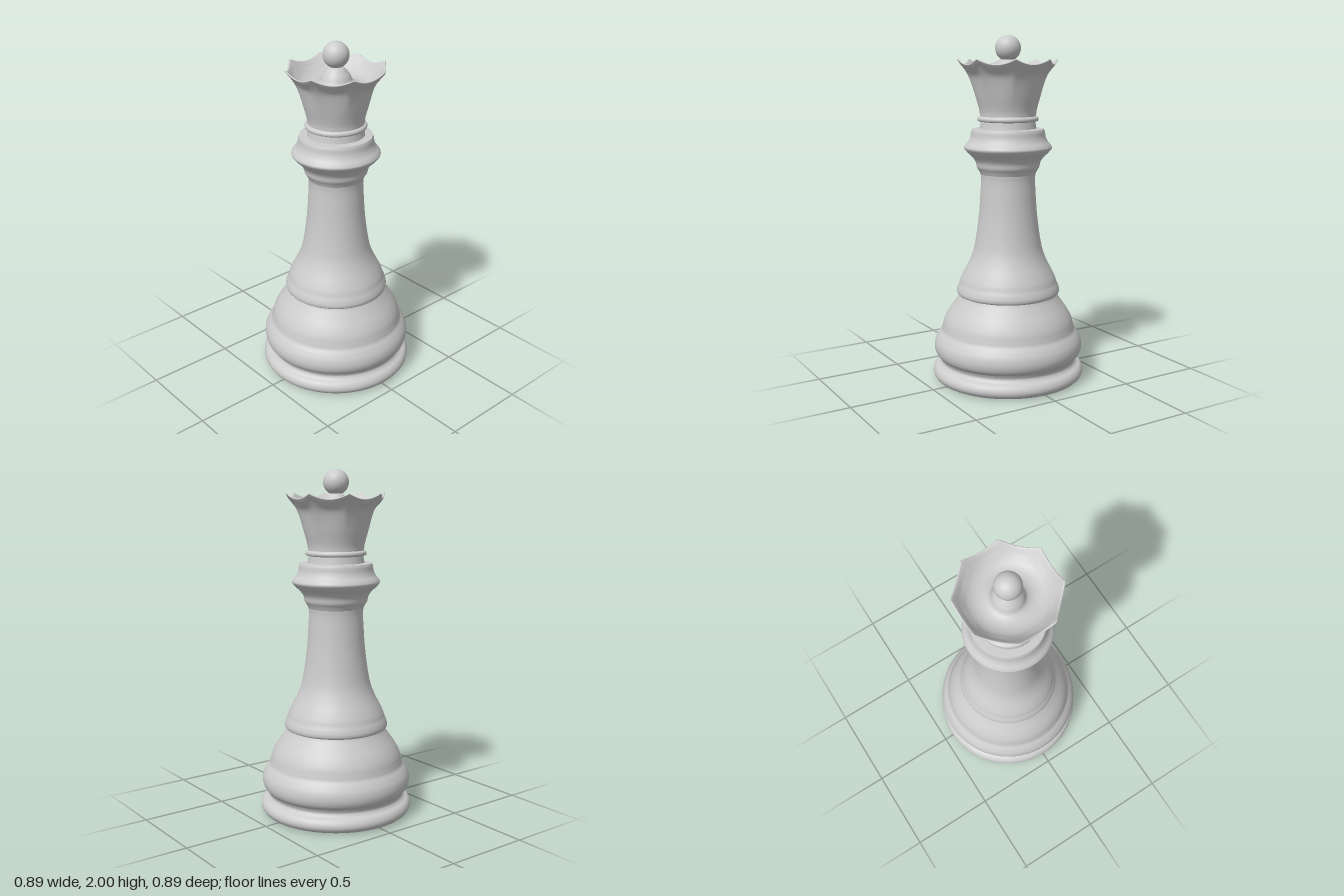
import * as THREE from 'three';
import { mergeVertices } from 'three/addons/utils/BufferGeometryUtils.js';

const SIDES = 96;

// Smooth profile through [radius, height] points
function smooth(points, divisions) {
  const curve = new THREE.CatmullRomCurve3(points.map(([r, y]) => new THREE.Vector3(r, y, 0)));
  return curve.getPoints(divisions).map((p) => new THREE.Vector2(Math.max(p.x, 0), p.y));
}

export function createModel() {
  const group = new THREE.Group();
  const material = new THREE.MeshStandardMaterial({ color: 0xcccccc });

  function add(name, geometry) {
    const mesh = new THREE.Mesh(geometry, material);
    mesh.name = name;
    group.add(mesh);
    return mesh;
  }
  const turned = (name, points, divisions = points.length * 5) =>
    add(name, new THREE.LatheGeometry(smooth(points, divisions), SIDES));

  // Flat underside
  const underside = add('underside', new THREE.CircleGeometry(0.4, SIDES));
  underside.rotation.x = Math.PI / 2;
  underside.position.y = 0.003;

  // Foot moulding and wide bell of the base
  turned('foot', [
    [0.4, 0.003], [0.427, 0.015], [0.443, 0.038], [0.443, 0.06], [0.43, 0.082], [0.405, 0.098],
    [0.396, 0.115], [0.403, 0.135],
  ]);
  turned('bell', [
    [0.403, 0.135], [0.425, 0.16], [0.435, 0.195], [0.43, 0.235], [0.412, 0.27], [0.393, 0.296],
    [0.386, 0.32], [0.375, 0.36], [0.352, 0.405], [0.317, 0.455], [0.29, 0.495], [0.284, 0.507],
  ]);

  // Ridge above the bell, flowing into the stem
  turned('stem', [
    [0.284, 0.507], [0.297, 0.514], [0.301, 0.53], [0.295, 0.555], [0.285, 0.578], [0.276, 0.605],
    [0.257, 0.645], [0.226, 0.705], [0.203, 0.765], [0.189, 0.83], [0.177, 0.91], [0.167, 1.0],
    [0.16, 1.1], [0.156, 1.18], [0.158, 1.215],
  ]);

  // Collar with its flat top ledge
  turned('collar', [
    [0.158, 1.215], [0.168, 1.235], [0.18, 1.255], [0.187, 1.285], [0.205, 1.312], [0.234, 1.34],
    [0.252, 1.365], [0.245, 1.382], [0.227, 1.405], [0.216, 1.43], [0.211, 1.46], [0.206, 1.473],
  ]);
  turned('collarLedge', [[0.206, 1.473], [0.155, 1.476]]);

  // Neck and thin ring under the crown
  turned('neck', [[0.163, 1.474], [0.16, 1.49], [0.156, 1.515]]);
  turned('neckRing', [[0.156, 1.515], [0.171, 1.519], [0.175, 1.53], [0.171, 1.54], [0.16, 1.546]]);

  // Crown: outer wall, rim, inner bowl and the small pedestal in the middle
  const crownProfile = smooth([
    [0.16, 1.545], [0.162, 1.57], [0.17, 1.605], [0.187, 1.66], [0.206, 1.72], [0.228, 1.775],
    [0.257, 1.822], [0.284, 1.856], [0.289, 1.864], [0.283, 1.867], [0.272, 1.858], [0.24, 1.82],
    [0.205, 1.785], [0.165, 1.768], [0.125, 1.768], [0.095, 1.782], [0.078, 1.815], [0.06, 1.84],
    [0.04, 1.86], [0, 1.87],
  ], 110);
  const crown = new THREE.LatheGeometry(crownProfile, SIDES);
  const pos = crown.attributes.position;
  const step = Math.PI / 4;
  for (let i = 0; i < pos.count; i++) {
    const x = pos.getX(i), y = pos.getY(i), z = pos.getZ(i);
    const r = Math.hypot(x, z);
    // Eight points: sides pull in and dip between them, fading out away from the rim
    const angle = Math.atan2(x, z);
    const d = (angle - Math.round(angle / step) * step) / (step / 2);
    const valley = 1 - d * d;
    const fade = THREE.MathUtils.smoothstep(r, 0.16, 0.27);
    const scale = 1 - 0.08 * valley * fade;
    const dip = 0.03 * valley * THREE.MathUtils.smoothstep(y, 1.74, 1.85) * fade;
    pos.setXYZ(i, x * scale, y - dip, z * scale);
  }
  crown.deleteAttribute('normal');
  crown.deleteAttribute('uv');
  const crownGeometry = mergeVertices(crown, 1e-5);
  crownGeometry.computeVertexNormals();
  add('crown', crownGeometry);

  // Ball on top
  const ball = add('ball', new THREE.SphereGeometry(0.073, 48, 32));
  ball.position.y = 1.927;

  return group;
}
